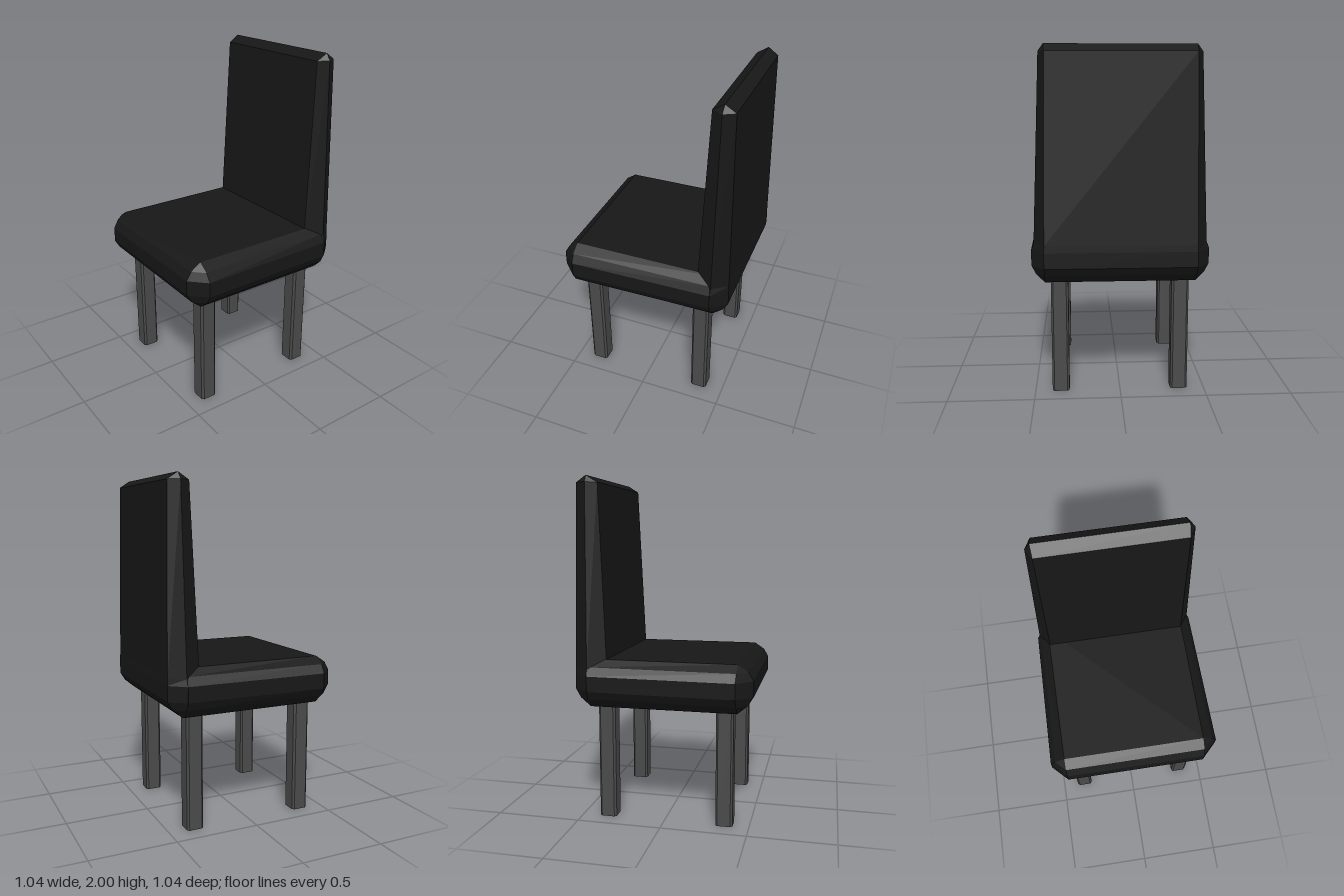
import * as THREE from 'three';

// Skin a stack of equal-length rings (bottom to top) and close both ends.
function loft(rings) {
  const pos = [];
  const tri = (a, b, c) => {
    const t = new THREE.Triangle(...[a, b, c].map((p) => new THREE.Vector3(...p)));
    if (t.getArea() > 1e-7) pos.push(...a, ...b, ...c);
  };
  const n = rings[0].length;
  for (let k = 0; k < rings.length - 1; k++) {
    for (let i = 0; i < n; i++) {
      const j = (i + 1) % n, lo = rings[k], hi = rings[k + 1];
      tri(lo[i], hi[i], lo[j]);
      tri(lo[j], hi[i], hi[j]);
    }
  }
  const base = rings[0], top = rings[rings.length - 1];
  for (let i = 1; i < n - 1; i++) {
    tri(base[0], base[i], base[i + 1]);
    tri(top[0], top[i + 1], top[i]);
  }
  const g = new THREE.BufferGeometry();
  g.setAttribute('position', new THREE.Float32BufferAttribute(pos, 3));
  g.computeVertexNormals();
  return g;
}

// Rectangle of half size r with corners cut by c; the rear is narrowed by t.
function cutSquare(y, r, c, t = 0) {
  const e = r - c;
  return [
    [r, y, e], [e, y, r], [-e, y, r], [-r, y, e],
    [t - r, y, -e], [-e, y, -r], [e, y, -r], [r - t, y, -e],
  ];
}

// Six-sided slab section: flat front and rear, pointed sides.
function slab(y, flat, side, zFront, zSide, zRear) {
  return [
    [side, y, zSide], [flat, y, zFront], [-flat, y, zFront],
    [-side, y, zSide], [-flat, y, zRear], [flat, y, zRear],
  ];
}

export function createModel() {
  const chair = new THREE.Group();
  chair.name = 'chair';
  const upholstery = new THREE.MeshStandardMaterial({ color: 0x171717, flatShading: true });
  const legMaterial = new THREE.MeshStandardMaterial({ color: 0x4a4a4a, flatShading: true });
  const add = (name, geometry, material) => {
    const mesh = new THREE.Mesh(geometry, material);
    mesh.name = name;
    chair.add(mesh);
    return mesh;
  };

  // Cushion with bevelled edges, slightly narrower at the rear
  add('seat', loft([
    cutSquare(0.68, 0.43, 0),
    cutSquare(0.73, 0.49, 0.06, 0.01),
    cutSquare(0.78, 0.52, 0.092, 0.015),
    cutSquare(0.87, 0.52, 0.092, 0.015),
    cutSquare(0.92, 0.49, 0.06, 0.01),
    cutSquare(0.96, 0.43, 0),
  ]), upholstery);

  // Tapered backrest ending in a ridge
  add('backrest', loft([
    slab(0.78, 0.43, 0.505, -0.33, -0.43, -0.52),
    slab(0.87, 0.43, 0.505, -0.33, -0.43, -0.52),
    slab(0.91, 0.428, 0.49, -0.33, -0.43, -0.518),
    slab(1.96, 0.41, 0.445, -0.375, -0.437, -0.5),
    slab(2.0, 0.415, 0.415, -0.44, -0.44, -0.44),
  ]), upholstery);

  // Four square legs with bevelled corners
  const legGeometry = loft([cutSquare(0, 0.05, 0.012), cutSquare(0.7, 0.05, 0.012)]);
  for (const [side, x] of [['Left', 0.35], ['Right', -0.35]]) {
    for (const [end, z] of [['front', 0.355], ['back', -0.345]]) {
      add(`${end}${side}Leg`, legGeometry, legMaterial).position.set(x, 0, z);
    }
  }
  return chair;
}
